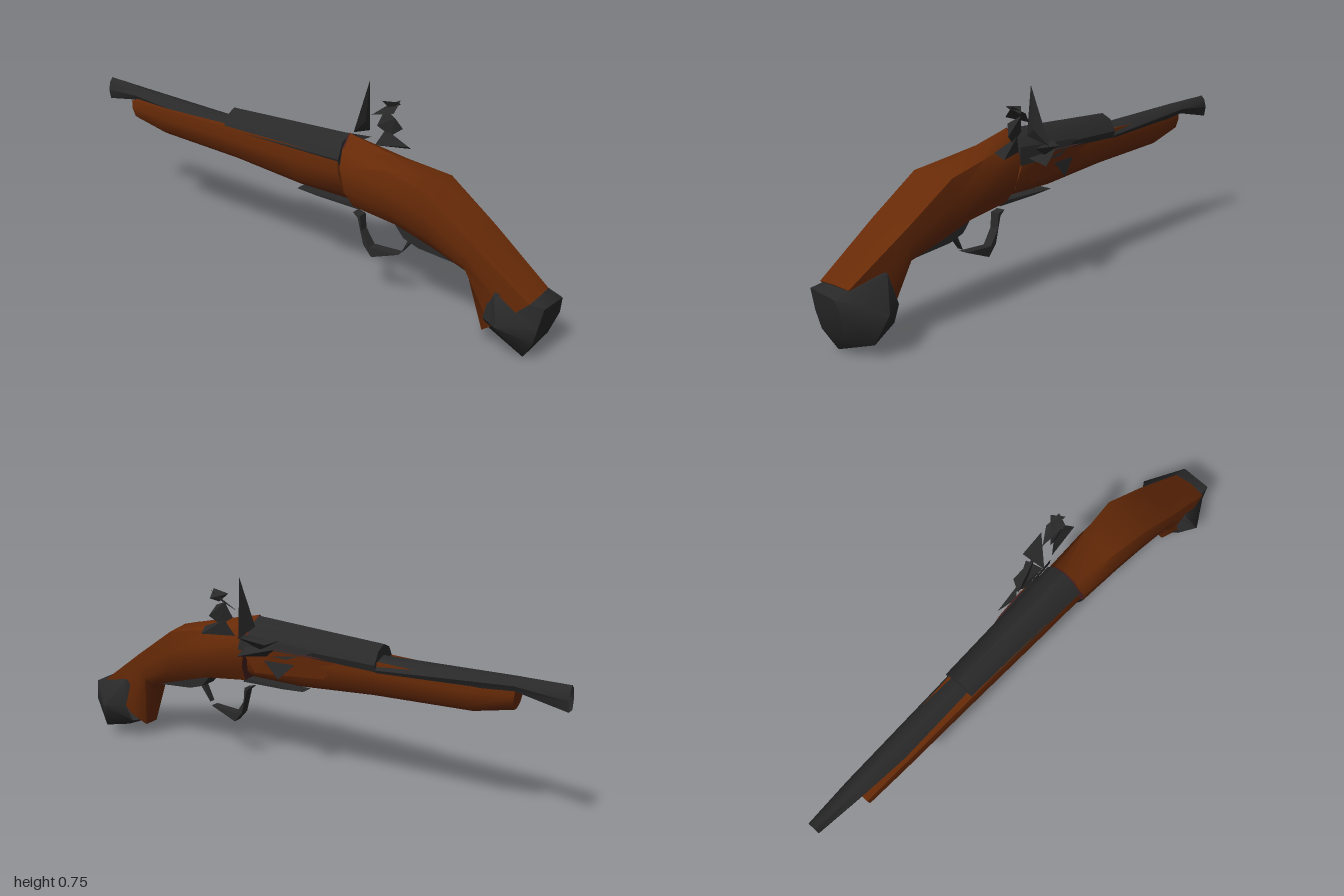
import * as THREE from 'three';
import { toCreasedNormals } from 'three/addons/utils/BufferGeometryUtils.js';
import { ConvexGeometry } from 'three/addons/geometries/ConvexGeometry.js';

function flat(name, color) {
  const m = new THREE.MeshStandardMaterial({ color, side: THREE.DoubleSide });
  m.name = name;
  return m;
}
const wood = flat('walnut wood', 0x672a07);
const innerWood = flat('dark inner wood', 0x4a2020);
const metal = flat('dark iron', 0x292929);

// Skin over a row of equal-length rings, with optional flat ends
function loft(rings, capStart = true, capEnd = true, crease = 0.75) {
  const n = rings[0].length, pos = rings.flat(2), idx = [];
  for (let s = 0; s < rings.length - 1; s++) {
    for (let i = 0; i < n; i++) {
      const a = s * n + i, b = s * n + (i + 1) % n;
      idx.push(a, a + n, b, b, a + n, b + n);
    }
  }
  const last = (rings.length - 1) * n;
  for (let i = 1; i < n - 1; i++) {
    if (capStart) idx.push(0, i, i + 1);
    if (capEnd) idx.push(last, last + i + 1, last + i);
  }
  const g = new THREE.BufferGeometry();
  g.setAttribute('position', new THREE.Float32BufferAttribute(pos, 3));
  g.setIndex(idx);
  return toCreasedNormals(g, crease);
}

// Ring from a station [topX, topY, bottomX, bottomY, zFront, zBack] and a (side, height) outline
function ring([tx, ty, bx, by, zf, zb], outline) {
  return outline.map(([w, u]) => [
    bx + (tx - bx) * u, by + (ty - by) * u, (zf + zb) / 2 + w * (zf - zb) / 2,
  ]);
}

// Grip outline: peaked at the breech, flat-topped toward the butt
const gripOutline = (shoulderW, shoulderH) => [
  [0, 1], [shoulderW, shoulderH], [1, 0.6], [0.9, 0.25], [0.45, 0],
  [-0.45, 0], [-0.9, 0.25], [-1, 0.6], [-shoulderW, shoulderH],
];
const TROUGH = [[0.9, 1], [1, 0.65], [0.75, 0.2], [0.25, 0], [-0.25, 0], [-0.75, 0.2], [-1, 0.65], [-0.9, 1]];
const ROOF = [[0, 1], [0.6, 0.84], [1, 0.45], [0.7, 0], [-0.7, 0], [-1, 0.45], [-0.6, 0.84]];

export function createModel() {
  const model = new THREE.Group();
  const add = (name, geometry, material, parent = model) => {
    const mesh = new THREE.Mesh(geometry, material);
    mesh.name = name;
    parent.add(mesh);
    return mesh;
  };
  const shard = (name, points, parent = model, material = metal) => add(name,
    new ConvexGeometry(points.map((p) => new THREE.Vector3(...p))), material, parent);

  // Wooden stock in two pieces with a narrow gap between
  add('foreStock', loft([
    [-0.82, 0.51, -0.81, 0.43, 0.06, -0.02],
    [-0.67, 0.512, -0.67, 0.4, 0.064, -0.035],
    [-0.3, 0.518, -0.3, 0.385, 0.075, -0.05],
    [0, 0.522, 0, 0.36, 0.084, -0.056],
    [0.195, 0.525, 0.22, 0.36, 0.09, -0.06],
  ].map((s) => ring(s, TROUGH))), wood);
  const gripRings = [
    ring([0.195, 0.595, 0.24, 0.345, 0.095, -0.066], gripOutline(0.6, 0.84)),
    ring([0.38, 0.552, 0.42, 0.325, 0.102, -0.08], gripOutline(0.75, 0.88)),
    ring([0.55, 0.508, 0.56, 0.285, 0.106, -0.085], gripOutline(0.92, 0.95)),
    ring([0.73, 0.378, 0.7, 0.24, 0.106, -0.066], gripOutline(0.97, 0.97)),
    ring([0.95, 0.228, 0.77, 0.05, 0.103, -0.036], gripOutline(0.97, 0.97)),
  ];
  add('gripStock', loft(gripRings, false, true), wood);
  add('gripJointFace', loft([
    gripRings[0], gripRings[0].map(([x, y, z]) => [x + 0.005, y, z]),
  ]), innerWood);

  // Wooden bed below the lock with a dark upper edge
  shard('lockBed', [
    [-0.18, 0.49, -0.05], [0.07, 0.5, -0.078], [0.2, 0.46, -0.075],
    [0.16, 0.4, -0.068], [-0.12, 0.42, -0.045], [0, 0.47, -0.02],
  ], model, wood);
  shard('lockBedEdge', [
    [-0.16, 0.494, -0.05], [0.07, 0.506, -0.076], [0.07, 0.506, -0.05], [-0.05, 0.5, -0.07], [-0.05, 0.499, -0.045],
  ], model, innerWood);

  // Barrel with flared muzzle, and the thicker breech
  add('barrel', loft([
    [-1, 0.555, -1, 0.47, 0.01, -0.035],
    [-0.82, 0.549, -0.82, 0.505, 0.035, -0.038],
    [-0.33, 0.533, -0.33, 0.46, 0.064, -0.053],
  ].map((s) => ring(s, ROOF)), false, true), metal);
  add('breech', loft([
    [-0.33, 0.572, -0.33, 0.46, 0.068, -0.057],
    [0.195, 0.592, 0.205, 0.46, 0.087, -0.064],
  ].map((s) => ring(s, ROOF))), metal);

  // Six-sided cap on the butt, open toward the grip, with a flat end plate
  add('buttCap', loft([
    [[0.795, 0.13, 0.115], [0.8, 0.21, 0.085], [0.8, 0.235, -0.045], [0.795, 0.15, -0.085], [0.79, 0.08, -0.055], [0.79, 0.058, 0.05]],
    [[0.86, 0.135, 0.157], [0.825, 0.228, 0.105], [0.815, 0.25, -0.06], [0.87, 0.15, -0.13], [0.9, 0.05, -0.09], [0.92, 0.002, 0.06]],
    [[0.975, 0.14, 0.092], [0.99, 0.215, 0.09], [0.997, 0.207, -0.03], [0.985, 0.14, -0.05], [0.965, 0.073, -0.015], [0.96, 0.077, 0.085]],
  ], false, true, 0.9), metal);

  // Trigger guard: front plate, hanging bow, rear tang
  const guard = new THREE.Group();
  guard.name = 'triggerGuard';
  model.add(guard);
  const strip = (name, outline, width) => {
    const g = new THREE.ExtrudeGeometry(
      new THREE.Shape(outline.map((p) => new THREE.Vector2(...p))), { depth: width, bevelEnabled: false });
    g.translate(0, 0, 0.015 - width / 2);
    add(name, g, metal, guard);
  };
  strip('guardPlate', [[-0.01, 0.342], [0.25, 0.347], [0.26, 0.332], [0.08, 0.336]], 0.05);
  strip('guardBow', [[0.23, 0.312], [0.26, 0.305], [0.265, 0.25], [0.3, 0.196], [0.42, 0.203], [0.31, 0.16], [0.275, 0.2], [0.25, 0.295]], 0.035);
  strip('guardRear', [[0.43, 0.215], [0.46, 0.28], [0.475, 0.275]], 0.025);
  strip('guardTang', [[0.4, 0.34], [0.45, 0.282], [0.51, 0.263], [0.67, 0.25], [0.69, 0.295], [0.56, 0.32]], 0.07);

  // Flint lock on the far side
  const lock = new THREE.Group();
  lock.name = 'lock';
  model.add(lock);
  shard('lockPlate', [[0.22, 0.54, -0.07], [0.23, 0.48, -0.079], [0.02, 0.475, -0.073], [-0.1, 0.52, -0.058], [0.1, 0.52, -0.06]], lock);
  shard('frizzen', [[0.2, 0.755, -0.1], [0.168, 0.57, -0.053], [0.168, 0.547, -0.155], [0.187, 0.6, -0.1]], lock);
  shard('hammerNeck', [[0.24, 0.6, -0.09], [0.33, 0.6, -0.115], [0.29, 0.57, -0.1], [0.26, 0.66, -0.11], [0.31, 0.64, -0.095]], lock);
  shard('hammerJaw', [[0.21, 0.63, -0.1], [0.315, 0.7, -0.12], [0.31, 0.66, -0.085], [0.26, 0.67, -0.13]], lock);
  shard('hammerScrew', [[0.25, 0.69, -0.1], [0.32, 0.7, -0.095], [0.28, 0.66, -0.115], [0.3, 0.675, -0.145]], lock);
  shard('hammerFoot', [[0.27, 0.59, -0.1], [0.36, 0.53, -0.125], [0.37, 0.55, -0.09], [0.24, 0.53, -0.08]], lock);
  shard('pan', [[0.05, 0.54, -0.07], [0.2, 0.54, -0.12], [0.12, 0.5, -0.09], [0.08, 0.53, -0.12]], lock);
  shard('panArm', [[0.06, 0.51, -0.09], [0.18, 0.48, -0.15], [0.1, 0.475, -0.08], [0.19, 0.5, -0.08]], lock);
  shard('spring', [[-0.03, 0.47, -0.095], [0.09, 0.47, -0.11], [0.03, 0.41, -0.11], [0.05, 0.46, -0.08]], lock);

  return model;
}
